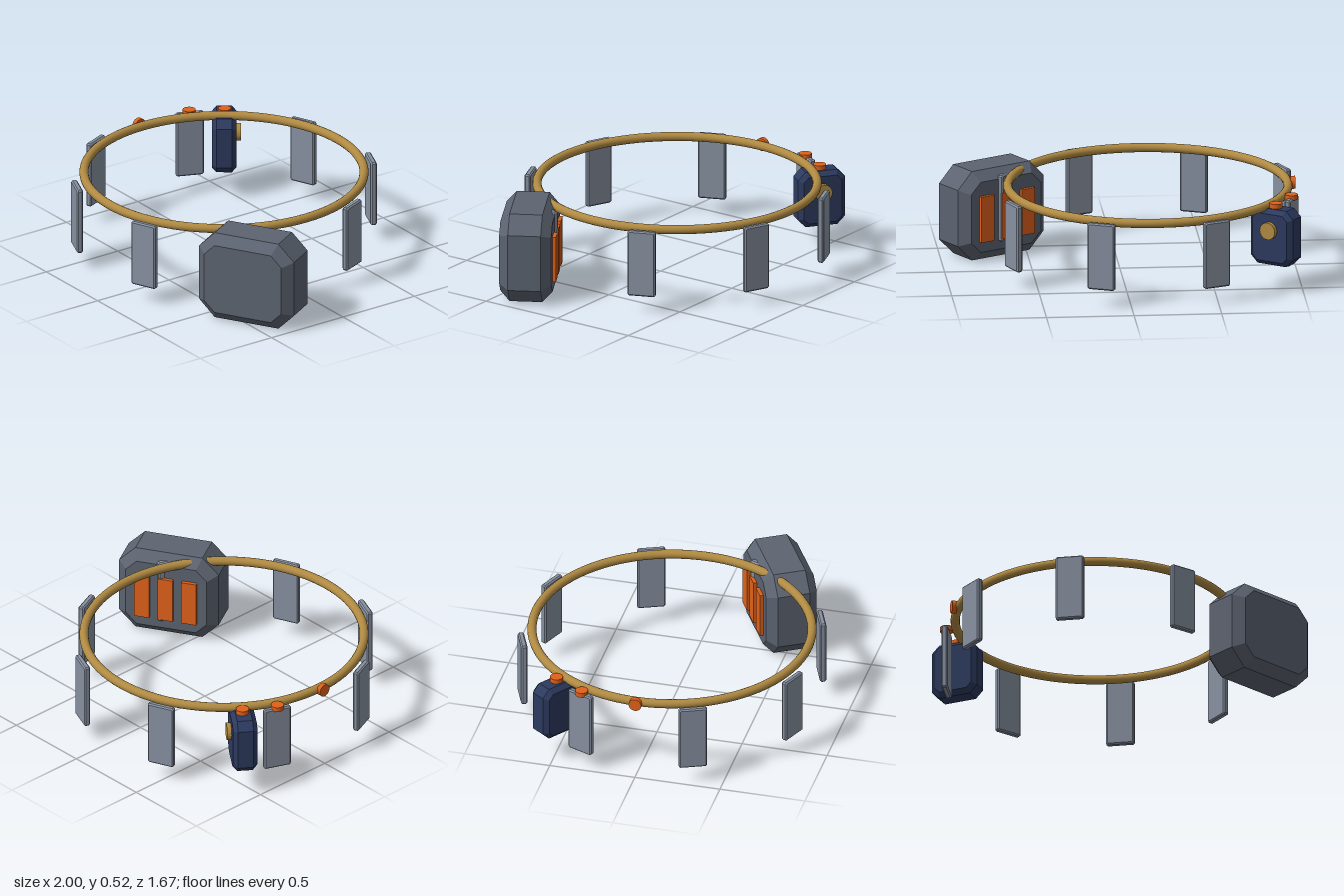
import * as THREE from 'three';

const mat = (color, flat = true) => new THREE.MeshStandardMaterial({ color, flatShading: flat });
const gold = mat(0xb08a42, false);
const slate = mat(0x5c6370);
const steel = mat(0x8790a0);
const navy = mat(0x2c3a5e);
const orange = mat(0xe0611a);

const CX = -0.16; // ring centre in x
const RING_Y = 0.485;

// Box with cut corners in its outline and a one-step bevel front and back
function chamferBox(w, h, d, cut, bevel) {
  const a = w / 2 - bevel, b = h / 2 - bevel;
  const outline = [
    [a, -b + cut], [a, b - cut], [a - cut, b], [-a + cut, b],
    [-a, b - cut], [-a, -b + cut], [-a + cut, -b], [a - cut, -b],
  ].map(([x, y]) => new THREE.Vector2(x, y));
  const geo = new THREE.ExtrudeGeometry(new THREE.Shape(outline), {
    depth: d - 2 * bevel, bevelEnabled: true, bevelSegments: 1,
    bevelSize: bevel, bevelThickness: bevel,
  });
  return geo.translate(0, 0, -d / 2 + bevel);
}

function add(parent, name, geometry, material, x = 0, y = 0, z = 0) {
  const mesh = new THREE.Mesh(geometry, material);
  mesh.name = name;
  mesh.position.set(x, y, z);
  parent.add(mesh);
  return mesh;
}

function addGroup(parent, name, x, y, z, turn) {
  const group = new THREE.Group();
  group.name = name;
  group.position.set(x, y, z);
  group.rotation.y = turn;
  parent.add(group);
  return group;
}

export function createModel() {
  const model = new THREE.Group();
  model.name = 'equipmentBelt';

  // Round belt hoop
  add(model, 'beltRing', new THREE.TorusGeometry(0.797, 0.026, 14, 96).rotateX(Math.PI / 2), gold, CX, RING_Y, 0);

  // Eight plates hanging around the hoop
  const plateGeo = chamferBox(0.162, 0.39, 0.036, 0.004, 0.008);
  for (let i = 0; i < 8; i++) {
    const t = (i + 0.5) * Math.PI / 4;
    const plate = add(model, 'hangingPlate', plateGeo, steel, CX + 0.858 * Math.sin(t), 0.295, 0.858 * Math.cos(t));
    plate.rotation.y = t;
  }

  // Large case with three panels on its inner face
  const pack = addGroup(model, 'largeCase', 0.7, 0.2625, 0.412, Math.PI / 6);
  add(pack, 'caseBody', chamferBox(0.592, 0.525, 0.298, 0.065, 0.055), slate);
  for (const x of [-0.14, 0, 0.14]) {
    add(pack, 'casePanel', new THREE.BoxGeometry(0.088, 0.27, 0.04), orange, x, -0.01, -0.15);
  }

  // Small pouch with a round knob on its side
  const pouch = addGroup(model, 'smallPouch', -0.85, 0.315, -0.497, THREE.MathUtils.degToRad(144));
  add(pouch, 'pouchBody', chamferBox(0.28, 0.33, 0.14, 0.03, 0.026), navy);
  add(pouch, 'pouchKnob', new THREE.CylinderGeometry(0.05, 0.05, 0.04, 20).rotateX(Math.PI / 2), mat(0xb08a42), 0, 0.045, 0.075);

  // Button discs: two lying flat, one facing outwards
  const discGeo = new THREE.CylinderGeometry(0.037, 0.037, 0.028, 20);
  add(model, 'flatButton', discGeo, orange, -0.85, 0.493, -0.5);
  add(model, 'flatButton', discGeo, orange, -0.953, 0.493, -0.325);
  add(model, 'sideButton', discGeo, orange, -0.986, RING_Y, 0).rotation.z = Math.PI / 2;

  return model;
}
